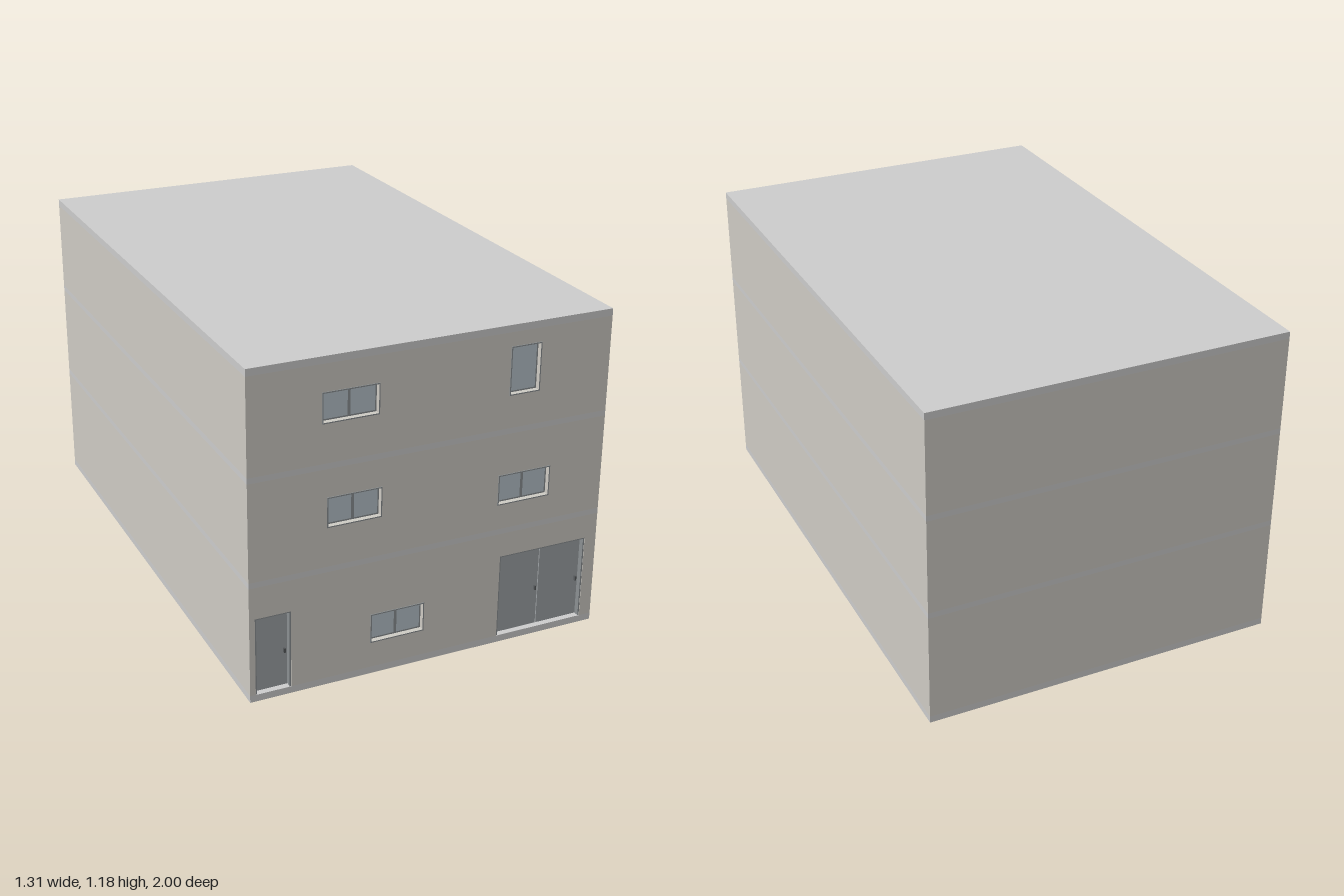
import * as THREE from 'three';

const W = 1.31, FRONT = 0.997, BACK = -1, WALL = 0.04;
const mat = (color) => new THREE.MeshStandardMaterial({ color });

const wallMat = mat(0xcdcac3);
const slabMat = mat(0xc0c0bf);
const frameMat = mat(0x8a8f92);
const glassMat = mat(0xb6c2c9);
const doorMat = mat(0x9ca1a4);
const handleMat = mat(0x55585a);

// Openings are [left, bottom, right, top, leaves]
const storeys = [
  {
    y0: 0.025, y1: 0.425,
    windows: [[-0.22, 0.12, -0.02, 0.228, 2]],
    doors: [[-0.635, 0.025, -0.508, 0.31, 1], [0.27, 0.025, 0.61, 0.337, 2]],
  },
  {
    y0: 0.445, y1: 0.795,
    windows: [[-0.382, 0.587, -0.186, 0.695, 2], [0.248, 0.537, 0.447, 0.648, 2]],
    doors: [],
  },
  {
    y0: 0.815, y1: 1.155,
    windows: [[-0.4, 0.953, -0.2, 1.06, 2], [0.273, 0.933, 0.387, 1.105, 1]],
    doors: [],
  },
];
const slabs = [[0, 0.025], [0.425, 0.445], [0.795, 0.815], [1.155, 1.18]];

function add(parent, name, geometry, material) {
  const mesh = new THREE.Mesh(geometry, material);
  mesh.name = name;
  parent.add(mesh);
  return mesh;
}

// Box given by its lower and upper corners
function block(parent, name, x0, y0, z0, x1, y1, z1, material) {
  const mesh = add(parent, name, new THREE.BoxGeometry(x1 - x0, y1 - y0, z1 - z0), material);
  mesh.position.set((x0 + x1) / 2, (y0 + y1) / 2, (z0 + z1) / 2);
}

function rectPath(x0, y0, x1, y1) {
  return new THREE.Path([[x0, y0], [x0, y1], [x1, y1], [x1, y0]].map((p) => new THREE.Vector2(...p)));
}

// Front wall with window holes and door notches cut up from the floor
function frontWall(parent, { y0, y1, windows, doors }) {
  const shape = new THREE.Shape();
  shape.moveTo(-W / 2, y0);
  for (const [l, , r, t] of doors) {
    shape.lineTo(l, y0).lineTo(l, t).lineTo(r, t).lineTo(r, y0);
  }
  shape.lineTo(W / 2, y0).lineTo(W / 2, y1).lineTo(-W / 2, y1);
  shape.holes = windows.map(([l, b, r, t]) => rectPath(l, b, r, t));
  const geometry = new THREE.ExtrudeGeometry(shape, { depth: WALL, bevelEnabled: false });
  add(parent, 'frontWall', geometry, wallMat).position.z = FRONT - WALL;
}

// Slim outer frame, inset sashes and glass
function addWindow(parent, [l, b, r, t, panes]) {
  const group = new THREE.Group();
  group.name = 'window';
  parent.add(group);
  const ring = (name, x0, y0, x1, y1, w, z0, z1) => {
    const shape = new THREE.Shape(rectPath(x0, y0, x1, y1).getPoints());
    shape.holes.push(rectPath(x0 + w, y0 + w, x1 - w, y1 - w));
    const geometry = new THREE.ExtrudeGeometry(shape, { depth: z1 - z0, bevelEnabled: false });
    add(group, name, geometry, frameMat).position.z = z0;
  };
  const rim = 0.004;
  ring('windowFrame', l, b, r, t, rim, FRONT - WALL, 1);
  const step = (r - l - 2 * rim) / panes;
  for (let i = 0; i < panes; i++) {
    const x = l + rim + i * step;
    ring('windowSash', x, b + rim, x + step, t - rim, 0.005, FRONT - 0.03, FRONT - 0.015);
    block(group, 'windowGlass', x, b + rim, FRONT - 0.03, x + step, t - rim, FRONT - 0.022, glassMat);
  }
}

// Recessed door leaves, each with a handle on its right side
function addDoor(parent, [l, b, r, t, leaves]) {
  const group = new THREE.Group();
  group.name = 'door';
  parent.add(group);
  const rim = 0.005, gap = 0.0015, z = FRONT - 0.02;
  block(group, 'doorFrameLeft', l, b, z - 0.02, l + rim, t, FRONT - 0.002, frameMat);
  block(group, 'doorFrameRight', r - rim, b, z - 0.02, r, t, FRONT - 0.002, frameMat);
  block(group, 'doorFrameTop', l + rim, t - rim, z - 0.02, r - rim, t, FRONT - 0.002, frameMat);
  const step = (r - l - 2 * rim) / leaves;
  for (let i = 0; i < leaves; i++) {
    const x = l + rim + i * step;
    block(group, 'doorLeaf', x + gap, b + gap, z - 0.012, x + step - gap, t - rim - gap, z, doorMat);
    const hx = x + step - 0.012, hy = b + (t - b) * 0.47;
    block(group, 'doorHandle', hx - 0.003, hy - 0.008, z, hx + 0.003, hy + 0.008, z + 0.008, handleMat);
  }
}

export function createModel() {
  const model = new THREE.Group();
  model.name = 'building';

  // Floor slabs and flat roof
  slabs.forEach(([y0, y1], i) => {
    const name = i === slabs.length - 1 ? 'roofSlab' : 'floorSlab';
    block(model, name, -W / 2, y0, BACK, W / 2, y1, FRONT, slabMat);
  });

  // Storeys between the slabs
  for (const storey of storeys) {
    const group = new THREE.Group();
    group.name = 'storey';
    model.add(group);
    block(group, 'storeyWalls', -W / 2, storey.y0, BACK, W / 2, storey.y1, FRONT - WALL, wallMat);
    frontWall(group, storey);
    storey.windows.forEach((w) => addWindow(group, w));
    storey.doors.forEach((d) => addDoor(group, d));
  }
  return model;
}
